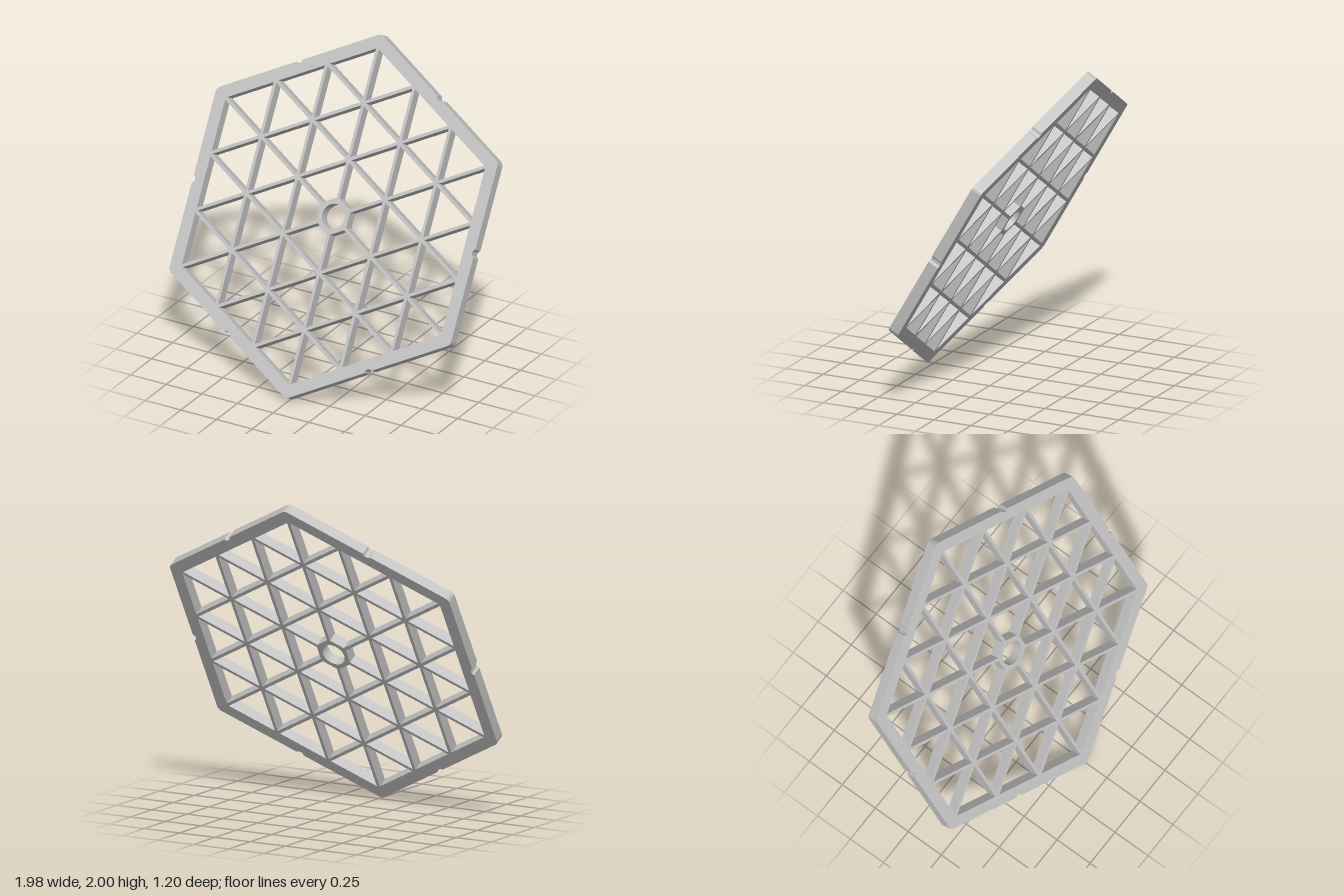
import * as THREE from 'three';
import { toCreasedNormals } from 'three/addons/utils/BufferGeometryUtils.js';

const APOTHEM = 0.988, CORNER = 0.04, THICK = 0.07; // hexagonal plate
const PITCH = 0.307, HALF_BAR = 0.01;               // triangular lattice
const HUB = 0.103, BORE = 0.077;                    // central hub
const NOTCH_R = 0.026, NOTCH_OUT = 0.01;            // edge notches

// Hexagon outline with rounded corners and a notch in the middle of each side
function outline() {
  const shape = new THREE.Shape();
  const reach = (APOTHEM - CORNER) / Math.cos(Math.PI / 6);
  const half = Math.acos(NOTCH_OUT / NOTCH_R);
  for (let k = 0; k < 6; k++) {
    const a = k * Math.PI / 3, c = a + Math.PI / 6, d = APOTHEM + NOTCH_OUT;
    shape.absarc(d * Math.cos(a), d * Math.sin(a), NOTCH_R, a + Math.PI + half, a + Math.PI - half, true);
    shape.absarc(reach * Math.cos(c), reach * Math.sin(c), CORNER, a, a + Math.PI / 3, false);
  }
  shape.closePath();
  return shape;
}

// One triangular opening, inset by half a bar; those at the centre are cut off by the hub
function opening(corners) {
  const mid = corners.reduce((m, p) => m.add(p), new THREE.Vector2()).divideScalar(3);
  const scale = 1 - HALF_BAR / (PITCH / 3);
  const pts = corners.map(p => p.clone().sub(mid).multiplyScalar(scale).add(mid));
  const tip = corners.findIndex(p => p.length() < 1e-6);
  if (tip >= 0) {
    const axis = mid.clone().normalize();
    const cut = q => {
      const p = pts[tip], t = (HUB - p.dot(axis)) / (q.dot(axis) - p.dot(axis));
      return p.clone().lerp(q, t);
    };
    pts.splice(tip, 1, cut(pts[(tip + 2) % 3]), cut(pts[(tip + 1) % 3]));
  }
  return new THREE.Path(pts);
}

export function createModel() {
  const grey = new THREE.MeshStandardMaterial({ color: 0xc0c0c0 });
  grey.name = 'light grey';

  const shape = outline();
  const side = PITCH / Math.cos(Math.PI / 6);
  const node = ([i, j]) => new THREE.Vector2(j * PITCH, side * (i + j / 2));
  const inside = ([i, j]) => Math.max(Math.abs(i), Math.abs(j), Math.abs(i + j)) <= 3;

  // Triangular openings of the lattice
  for (let i = -3; i <= 3; i++) {
    for (let j = -3; j <= 3; j++) {
      const cells = [
        [[i, j], [i + 1, j], [i, j + 1]],
        [[i + 1, j], [i + 1, j + 1], [i, j + 1]],
      ];
      for (const cell of cells) if (cell.every(inside)) shape.holes.push(opening(cell.map(node)));
    }
  }

  // Round bore through the hub
  const bore = new THREE.Path();
  bore.absarc(0, 0, BORE, 0, Math.PI * 2, true);
  shape.holes.push(bore);

  const geometry = new THREE.ExtrudeGeometry(shape, { depth: THICK, bevelEnabled: false, curveSegments: 16 });
  geometry.translate(0, 0, -THICK / 2);

  // Plate leaning back by 30 degrees
  const plate = new THREE.Mesh(toCreasedNormals(geometry, 0.6), grey);
  plate.name = 'latticePlate';
  plate.rotation.x = -Math.PI / 6;
  plate.position.y = 1;

  const group = new THREE.Group();
  group.name = 'hexagonalGrate';
  group.add(plate);
  return group;
}
